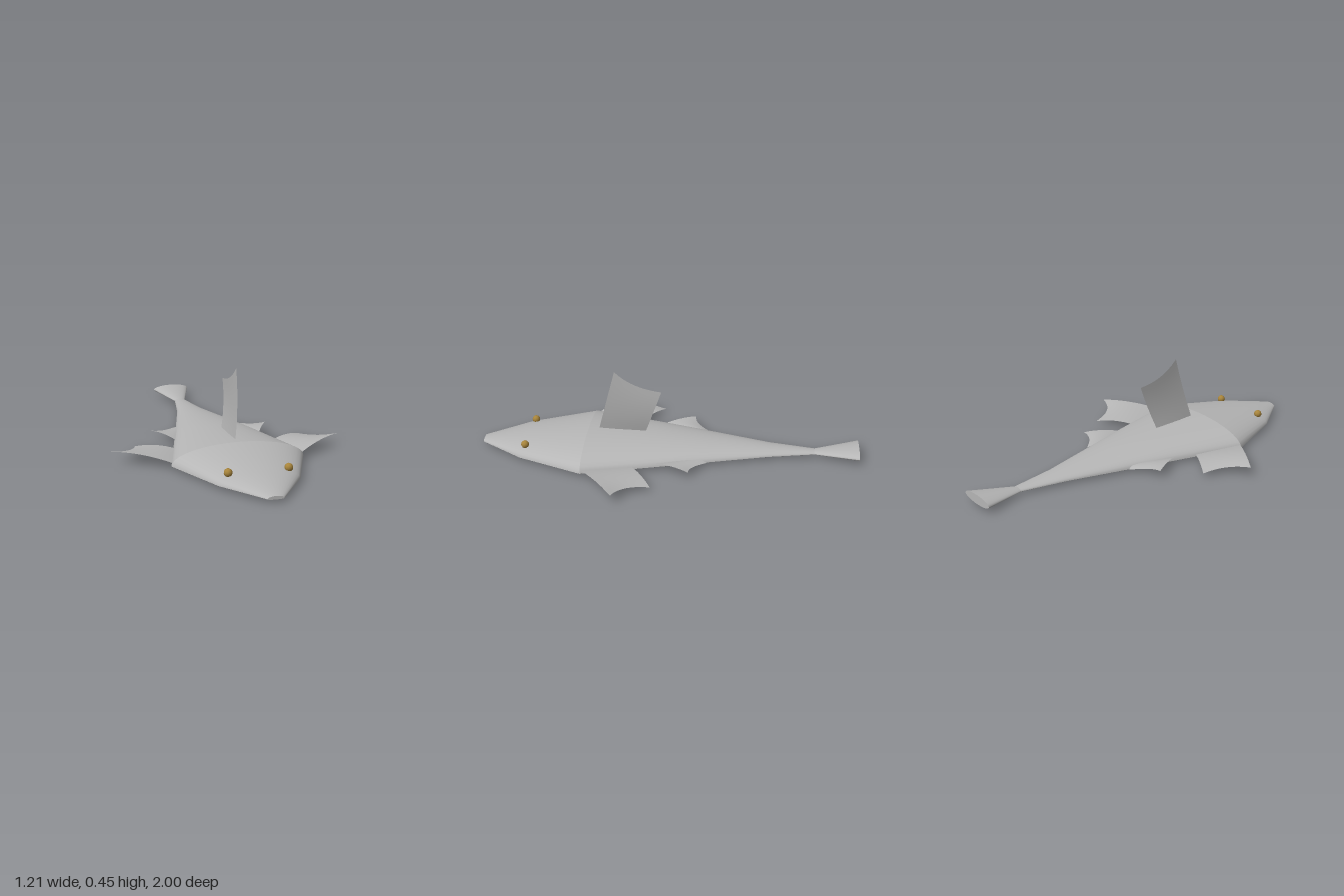
import * as THREE from 'three';

const skin = new THREE.MeshStandardMaterial({ color: 0xb6b6b6, side: THREE.DoubleSide });
skin.name = 'grey skin';
const gold = new THREE.MeshStandardMaterial({ color: 0xa8853c });
gold.name = 'gold eye';

// Body stations from nose to tail: z, half width, top y, rim y, bottom y
const stations = [
  [1.0, 0.04, 0.035, 0.022, 0.018],
  [0.77, 0.2, 0.077, 0.022, 0.01],
  [0.43, 0.34, 0.118, 0.021, 0.002],
  [0.05, 0.235, 0.1, 0.021, 0.008],
  [-0.2, 0.165, 0.081, 0.021, 0.012],
  [-0.53, 0.075, 0.05, 0.022, 0.016],
  [-0.77, 0.03, 0.037, 0.024, 0.018],
  [-1.0, 0.105, 0.068, 0.042, 0.018],
];

// Indexed grid surface: point(u, v) for u, v in 0..1
function surface(point, nu, nv) {
  const pos = [], idx = [];
  for (let j = 0; j <= nv; j++)
    for (let i = 0; i <= nu; i++) pos.push(...point(i / nu, j / nv));
  for (let j = 0; j < nv; j++)
    for (let i = 0; i < nu; i++) {
      const a = j * (nu + 1) + i, b = a + nu + 1;
      idx.push(a, b, a + 1, a + 1, b, b + 1);
    }
  const g = new THREE.BufferGeometry();
  g.setAttribute('position', new THREE.Float32BufferAttribute(pos, 3));
  g.setIndex(idx);
  g.computeVertexNormals();
  return g;
}

// Point on the cross-section: domed back above the rim, shallow belly below it
function ringPoint([z, w, top, rim, bottom], angle) {
  const s = Math.sin(angle);
  return [w * Math.cos(angle), rim + s * (s > 0 ? top - rim : rim - bottom), z];
}

// Half shell over a run of stations, sharp at its borders
function shell(rows, start) {
  const n = rows.length - 1;
  return surface((u, v) => ringPoint(rows[Math.round(v * n)], start + u * Math.PI), 20, n);
}

// Flat end closing a station
function endCap(station, dir) {
  return surface((u, v) => {
    const p = ringPoint(station, -dir * u * Math.PI * 2);
    const mid = (station[2] + station[4]) / 2;
    return [p[0] * v, mid + (p[1] - mid) * v, p[2]];
  }, 40, 1);
}

// Fin between four corners, bulged by an arch, with a hollow outer edge
function fin(baseA, baseB, tipA, tipB, arch, hollow) {
  const [a, b, c, d] = [baseA, baseB, tipA, tipB].map(p => new THREE.Vector3(...p));
  const bulge = new THREE.Vector3(...arch);
  return surface((u, v) => {
    const root = a.clone().lerp(b, u), tip = c.clone().lerp(d, u);
    const reach = v * (1 - hollow * 4 * u * (1 - u));
    return root.lerp(tip, reach).addScaledVector(bulge, 4 * v * (1 - v)).toArray();
  }, 8, 8);
}

export function createModel() {
  const model = new THREE.Group();
  const add = (name, geometry, material = skin) => {
    const mesh = new THREE.Mesh(geometry, material);
    mesh.name = name;
    model.add(mesh);
    return mesh;
  };

  // Head, trunk and tail, each with a back and a belly
  for (const [name, from, to] of [['head', 0, 2], ['trunk', 2, 6], ['tail', 6, 7]]) {
    const rows = stations.slice(from, to + 1);
    add(name + 'Back', shell(rows, 0));
    add(name + 'Belly', shell(rows, Math.PI));
  }
  add('mouth', endCap(stations[0], 1));
  add('tailEnd', endCap(stations[7], -1));

  // Dorsal fin, curling slightly to the left
  add('dorsalFin', fin([0, 0.113, 0.375], [0, 0.108, 0.125],
    [0.03, 0.455, 0.285], [0.03, 0.35, 0.04], [0.008, 0, 0], 0.08));

  // Paired fins and eyes
  for (const s of [1, -1]) {
    const side = s > 0 ? 'left' : 'right';
    add(side + 'PectoralFin', fin([s * 0.33, 0.036, 0.43], [s * 0.25, 0.028, 0.18],
      [s * 0.605, 0.06, 0.235], [s * 0.445, 0.022, 0.058], [0, 0.014, 0], 0.14));
    add(side + 'PelvicFin', fin([s * 0.222, 0.034, 0.06], [s * 0.14, 0.03, -0.12],
      [s * 0.32, 0.045, -0.122], [s * 0.177, 0.026, -0.21], [0, 0.01, 0], 0.14));
    const eye = add(side + 'Eye', new THREE.SphereGeometry(0.021, 10, 8), gold);
    eye.position.set(s * 0.148, 0.075, 0.748);
  }
  return model;
}
